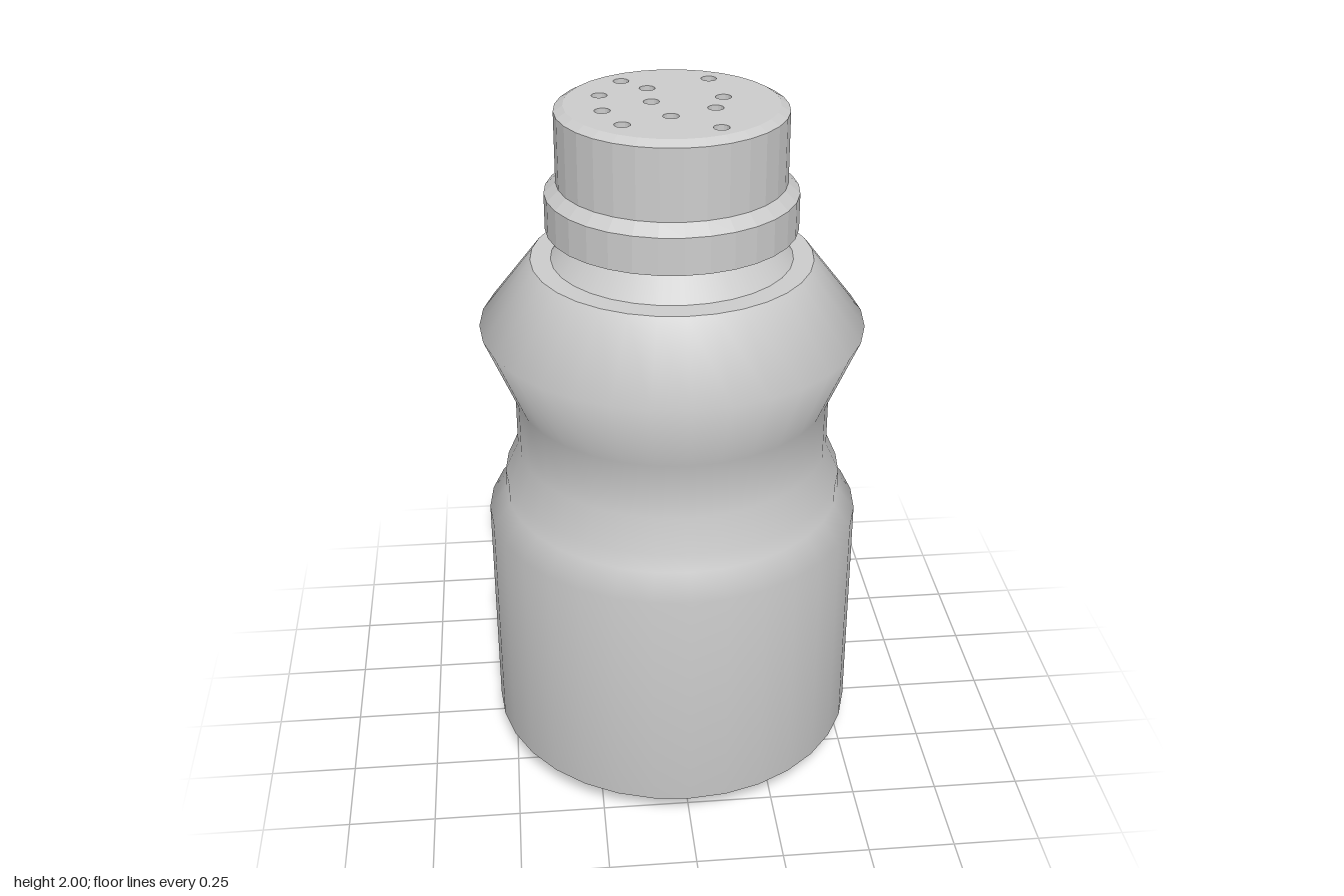
import * as THREE from 'three';

const SIDES = 32;

function lathe(name, profile, material) {
  const points = profile.map(([r, y]) => new THREE.Vector2(r, y));
  const mesh = new THREE.Mesh(new THREE.LatheGeometry(points, SIDES), material);
  mesh.name = name;
  return mesh;
}

// Points of a regular polygon, used for the lid disc and its holes
function ring(cx, cy, r, sides) {
  return Array.from({ length: sides }, (_, i) => {
    const a = (i / sides) * Math.PI * 2;
    return new THREE.Vector2(cx + r * Math.cos(a), cy + r * Math.sin(a));
  });
}

export function createModel() {
  const group = new THREE.Group();
  group.name = 'shakerBottle';
  const smooth = new THREE.MeshStandardMaterial({ color: 0xcccccc });
  const faceted = new THREE.MeshStandardMaterial({ color: 0xcccccc, flatShading: true });

  // Bottle with a gripped waist, very slightly deeper than wide
  const body = lathe('bottleBody', [
    [0, 0], [0.47, 0], [0.547, 0.07], [0.547, 0.765], [0.495, 0.83], [0.495, 0.89],
    [0.455, 0.98], [0.455, 1.145], [0.547, 1.365], [0.397, 1.56],
  ], smooth);
  body.scale.z = 1.027;
  group.add(body);

  // Sloping neck that rises into the cap, on a flat shoulder
  group.add(lathe('neck', [[0.34, 1.56], [0.27, 1.65], [0.232, 1.7]], smooth));
  const shoulder = lathe('shoulderLedge', [[0.397, 1.56], [0.33, 1.56]], smooth);
  shoulder.scale.z = 1.027;
  group.add(shoulder);

  const seal = new THREE.Mesh(new THREE.CircleGeometry(0.232, SIDES), smooth);
  seal.name = 'neckTop';
  seal.rotation.x = -Math.PI / 2;
  seal.position.y = 1.7;
  group.add(seal);

  // Hollow cap: inner wall, underside, collar, upper wall and bevelled rim
  group.add(lathe('cap', [
    [0.29, 1.97], [0.29, 1.65], [0.352, 1.65], [0.352, 1.755],
    [0.319, 1.785], [0.319, 1.985], [0.293, 2],
  ], faceted));

  // Lid disc pierced by scattered shaker holes, given as x, z
  const lid = new THREE.Shape(ring(0, 0, 0.293, SIDES));
  const holes = [
    [-0.123, -0.198], [0.122, -0.198], [-0.056, -0.128], [-0.19, -0.078],
    [0.143, -0.034], [-0.054, -0.012], [-0.19, 0.052], [0.112, 0.055],
    [-0.013, 0.112], [-0.145, 0.168], [0.108, 0.214],
  ];
  for (const [x, z] of holes) lid.holes.push(new THREE.Path(ring(x, z, 0.022, 16)));
  const lidGeometry = new THREE.ExtrudeGeometry(lid, { depth: 0.03, bevelEnabled: false });
  lidGeometry.rotateX(Math.PI / 2);
  const lidMesh = new THREE.Mesh(lidGeometry, faceted);
  lidMesh.name = 'shakerLid';
  lidMesh.position.y = 2;
  group.add(lidMesh);

  return group;
}
